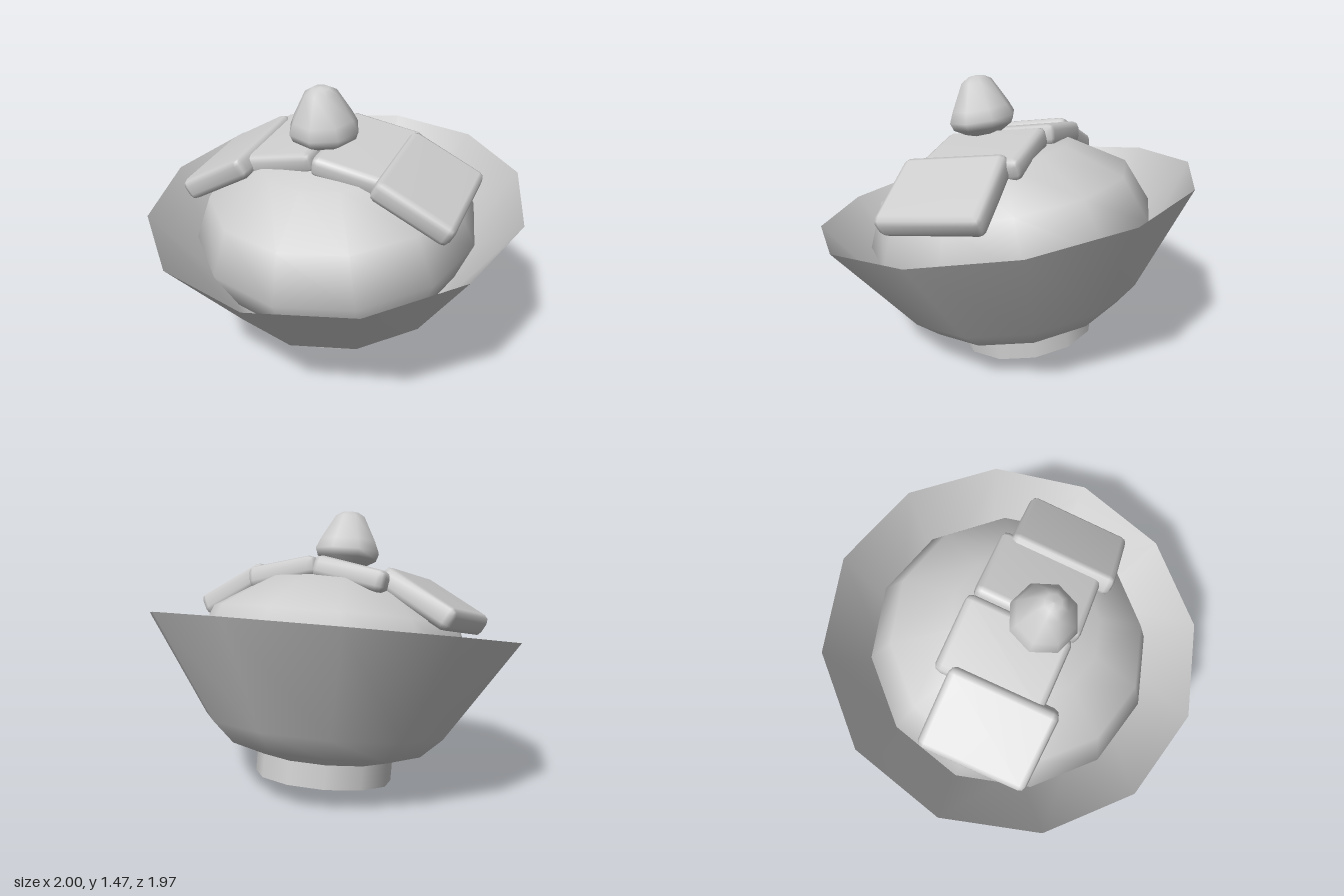
import * as THREE from 'three';
import { mergeVertices } from 'three/addons/utils/BufferGeometryUtils.js';
import { RoundedBoxGeometry } from 'three/addons/geometries/RoundedBoxGeometry.js';

const clay = new THREE.MeshStandardMaterial({ color: 0xcccccc, side: THREE.DoubleSide });
clay.name = 'light grey';

function part(name, geometry, parent) {
  const mesh = new THREE.Mesh(geometry, clay);
  mesh.name = name;
  parent.add(mesh);
  return mesh;
}

const lathe = (points, sides) =>
  new THREE.LatheGeometry(points.map(([r, y]) => new THREE.Vector2(r, y)), sides);

// Slab with chamfered edges and normals blended across them
function slabGeometry(width, thickness, length) {
  const box = new RoundedBoxGeometry(width, thickness, length, 1, 0.035);
  box.deleteAttribute('normal');
  box.deleteAttribute('uv');
  const merged = mergeVertices(box, 1e-4);
  merged.computeVertexNormals();
  return merged;
}

export function createModel() {
  const model = new THREE.Group();
  model.name = 'riceBowl';

  // The whole bowl leans forward; its origin is the centre of the rim
  const tilted = new THREE.Group();
  tilted.name = 'tiltedBowl';
  tilted.position.y = 0.85;
  tilted.rotation.x = THREE.MathUtils.degToRad(10.1);
  model.add(tilted);

  // Thin bowl wall and its round foot
  part('bowl', lathe([[0.365, -0.675], [0.543, -0.615], [0.655, -0.51], [1, 0]], 12), tilted);
  const foot = part('foot', new THREE.CylinderGeometry(0.365, 0.365, 0.127, 12), tilted);
  foot.position.y = -0.733;

  // Rice mound, a flattened ball resting in the bowl
  const rice = part('riceMound', new THREE.SphereGeometry(1, 12, 6), tilted);
  rice.scale.set(0.763, 0.473, 0.763);
  rice.position.y = -0.166;

  // Four slices draped over the mound, mirrored in pairs
  for (const side of [-1, 1]) {
    const inner = part('innerSlice', slabGeometry(0.405, 0.115, 0.56), tilted);
    inner.position.set(side * 0.2, 0.267, -0.027 + side * 0.01);
    inner.rotation.z = -side * THREE.MathUtils.degToRad(11);

    const outer = part('outerSlice', slabGeometry(0.435, 0.12, 0.57), tilted);
    outer.position.set(side * 0.535, 0.17, 0.041);
    outer.rotation.z = -side * THREE.MathUtils.degToRad(28.5);
  }

  // Tapered dollop on top
  const dollop = part('topDollop', lathe([
    [0, 0.335], [0.1, 0.345], [0.17, 0.385], [0.185, 0.425],
    [0.16, 0.48], [0.085, 0.612], [0.045, 0.635], [0, 0.642],
  ], 8), tilted);
  dollop.position.z = 0.06;
  dollop.scale.z = 0.94;

  return model;
}
